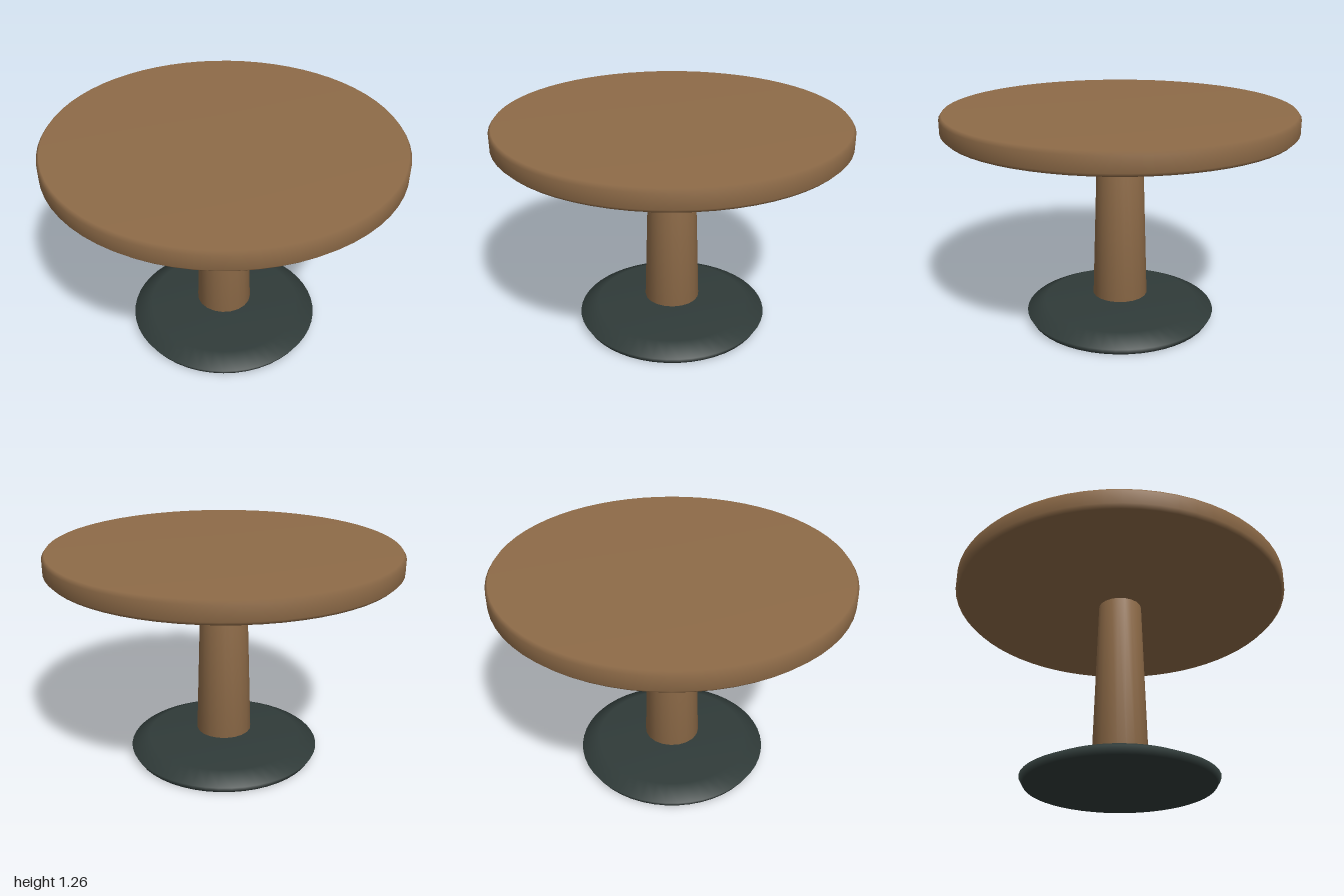
import * as THREE from 'three';

const wood = new THREE.MeshStandardMaterial({ color: 0x8e6b48 });
wood.name = 'brownWood';
const iron = new THREE.MeshStandardMaterial({ color: 0x303b39 });
iron.name = 'darkIron';

// Smooth turned solid from [radius, height] pairs, listed bottom to top
function turned(name, profile, sides, material) {
  const points = profile.map(([r, y]) => new THREE.Vector2(r, y));
  const mesh = new THREE.Mesh(new THREE.LatheGeometry(points, sides), material);
  mesh.name = name;
  return mesh;
}

export function createModel() {
  const table = new THREE.Group();
  table.name = 'pedestalTable';

  // Round top with a small bevel on both rims
  table.add(turned('tableTop', [
    [0, 1.145], [0.98, 1.145], [1, 1.165], [1, 1.245], [0.985, 1.265], [0, 1.265],
  ], 64, wood));

  // Tapered column, floating just above the foot
  table.add(turned('column', [
    [0, 0.135], [0.163, 0.135], [0.13, 1.15], [0, 1.15],
  ], 20, wood));

  // Flat disc foot with a sloping upper edge
  table.add(turned('foot', [
    [0, 0], [0.54, 0], [0.563, 0.04], [0.455, 0.09], [0, 0.09],
  ], 48, iron));

  return table;
}
